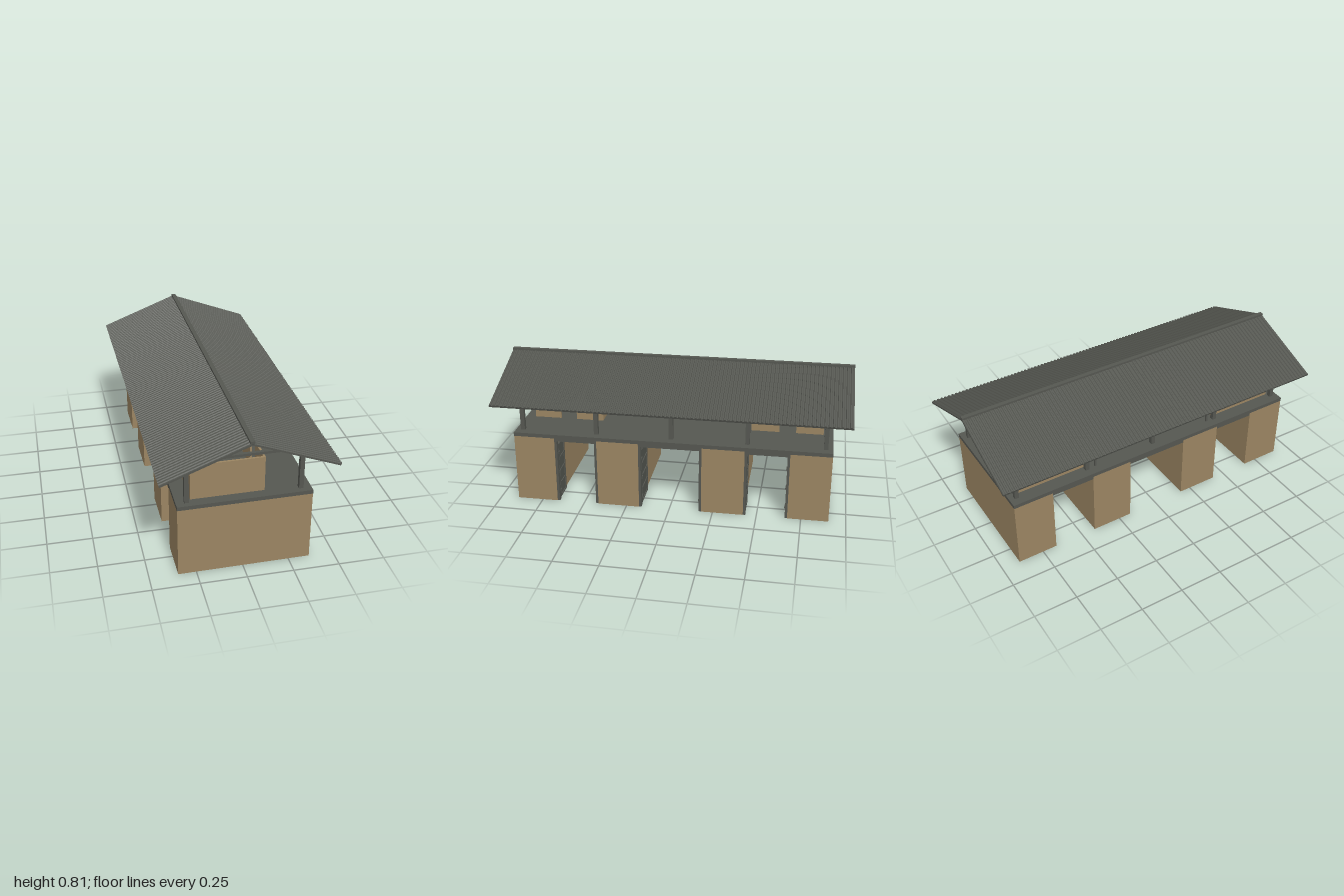
import * as THREE from 'three';

const earth = new THREE.MeshStandardMaterial({ color: 0x9b8562 });
earth.name = 'earthBrown';
const steel = new THREE.MeshStandardMaterial({ color: 0x555751 });
steel.name = 'steelGrey';

// Box given by its extents on each axis
function box(parent, name, mat, x0, x1, y0, y1, z0, z1) {
  const mesh = new THREE.Mesh(new THREE.BoxGeometry(x1 - x0, y1 - y0, z1 - z0), mat);
  mesh.position.set((x0 + x1) / 2, (y0 + y1) / 2, (z0 + z1) / 2);
  mesh.name = name;
  parent.add(mesh);
  return mesh;
}

function group(parent, name) {
  const g = new THREE.Group();
  g.name = name;
  parent.add(g);
  return g;
}

// Door leaf folded open against a wall at z, lying on the side given by dir
function doorLeaf(parent, z, dir, width) {
  const g = group(parent, 'openDoor');
  g.position.z = z;
  const plate = (name, x0, x1, y0, y1, d0, d1) =>
    box(g, name, steel, x0, x1, y0, y1, Math.min(d0 * dir, d1 * dir), Math.max(d0 * dir, d1 * dir));
  plate('doorPost', 0.326, 0.354, 0, 0.38, 0, 0.014);
  const x1 = 0.322, x0 = x1 - width;
  plate('doorPanel', x0, x1, 0.01, 0.345, 0.003, 0.009);
  for (const y of [0.01, 0.09, 0.17, 0.25, 0.335]) plate('doorRail', x0, x1, y, y + 0.01, 0.009, 0.014);
  for (const x of [x0, x1 - 0.01]) plate('doorStile', x, x + 0.01, 0.01, 0.345, 0.009, 0.014);
  for (const y of [0.05, 0.17, 0.29]) plate('hinge', 0.314, 0.334, y, y + 0.014, 0.012, 0.019);
}

// Open-topped room with a doorway on the terrace side
function room(parent, z0, z1, d0, d1) {
  const g = group(parent, 'upperRoom');
  const xa = -0.278, xb = 0.113, t = 0.012, y0 = 0.42, y1 = 0.618;
  box(g, 'outerWall', earth, xa, xa + t, y0, y1, z0, z1);
  for (const z of [z0, z1 - t]) box(g, 'endWall', earth, xa + t, xb - t, y0, y1, z, z + t);
  box(g, 'doorSideWall', earth, xb - t, xb, y0, y1, z0, d0);
  box(g, 'doorSideWall', earth, xb - t, xb, y0, y1, d1, z1);
  box(g, 'doorLintel', earth, xb - t, xb, 0.585, y1, d0, d1);
}

// One roof slope: ribbed sheet running down from the ridge towards +x
function roofSlope(parent, angle) {
  const side = group(parent, 'roofSlope');
  const half = 0.994, ribs = 90, pitch = 2 * half / ribs;
  const shape = new THREE.Shape();
  shape.moveTo(-half, 0);
  shape.lineTo(half, 0);
  for (let i = ribs; i > 0; i--) {
    const z = -half + i * pitch;
    shape.lineTo(z, 0.010);
    shape.lineTo(z - pitch * 0.35, 0.010);
    shape.lineTo(z - pitch * 0.5, 0.015);
    shape.lineTo(z - pitch * 0.85, 0.015);
  }
  shape.lineTo(-half, 0.010);
  const length = 0.457 / Math.cos(angle);
  const sheet = new THREE.Mesh(
    new THREE.ExtrudeGeometry(shape, { depth: length, bevelEnabled: false }).rotateY(Math.PI / 2), steel);
  sheet.name = 'ribbedRoofSheet';
  const slope = group(side, 'slopedParts');
  slope.position.y = 0.785;
  slope.rotation.z = -angle;
  slope.add(sheet);
  for (const z of [-0.86, -0.43, 0, 0.43, 0.86])
    box(slope, 'rafter', steel, -0.004, 0.46, -0.018, 0, z - 0.011, z + 0.011);
  return side;
}

export function createModel() {
  const model = new THREE.Group();
  model.name = 'pavilion';
  const house = group(model, 'building');
  house.rotation.y = 0.01;

  // Ground floor: solid blocks with covered gaps between
  const blocks = [[0.665, 0.9], [0.18, 0.42], [-0.42, -0.18], [-0.9, -0.67]];
  for (const [z0, z1] of blocks) box(house, 'wallBlock', earth, -0.356, 0.356, 0, 0.398, z0, z1);
  box(house, 'floorSlab', steel, -0.357, 0.357, 0.398, 0.42, -0.901, 0.901);
  for (let i = 0; i < 3; i++) {
    const high = blocks[i][0], low = blocks[i + 1][1];
    box(house, 'gapCeiling', steel, -0.355, 0.355, 0.38, 0.399, low, high);
    const width = (high - low) / 2 - 0.01;
    doorLeaf(house, high, -1, width);
    doorLeaf(house, low, 1, width);
  }

  // Upper floor rooms
  room(house, 0.435, 0.845, 0.595, 0.69);
  room(house, -0.845, -0.435, -0.69, -0.595);

  // Posts, tie beams and wall plates
  for (const z of [-0.86, -0.43, 0, 0.43, 0.86]) {
    for (const x of [-0.301, 0.301])
      box(house, 'post', steel, x - 0.012, x + 0.012, 0.42, 0.665, z - 0.012, z + 0.012);
    box(house, 'tieBeam', steel, -0.3, 0.3, 0.651, 0.665, z - 0.009, z + 0.009);
  }
  for (const x of [-0.301, 0.301])
    box(house, 'wallPlate', steel, x - 0.009, x + 0.009, 0.651, 0.665, -0.86, 0.86);

  // Terrace railing
  const rail = group(house, 'railing');
  box(rail, 'handrail', steel, -0.306, -0.296, 0.502, 0.512, -0.38, 0.385);
  for (const z of [-0.38, 0.375]) box(rail, 'railPost', steel, -0.306, -0.296, 0.42, 0.505, z, z + 0.01);

  // Gable roof
  const roof = group(house, 'roof');
  roofSlope(roof, 0.364);
  roofSlope(roof, 0.364).rotation.y = Math.PI;
  box(roof, 'ridgeCap', steel, -0.012, 0.012, 0.794, 0.807, -0.994, 0.994);

  return model;
}
